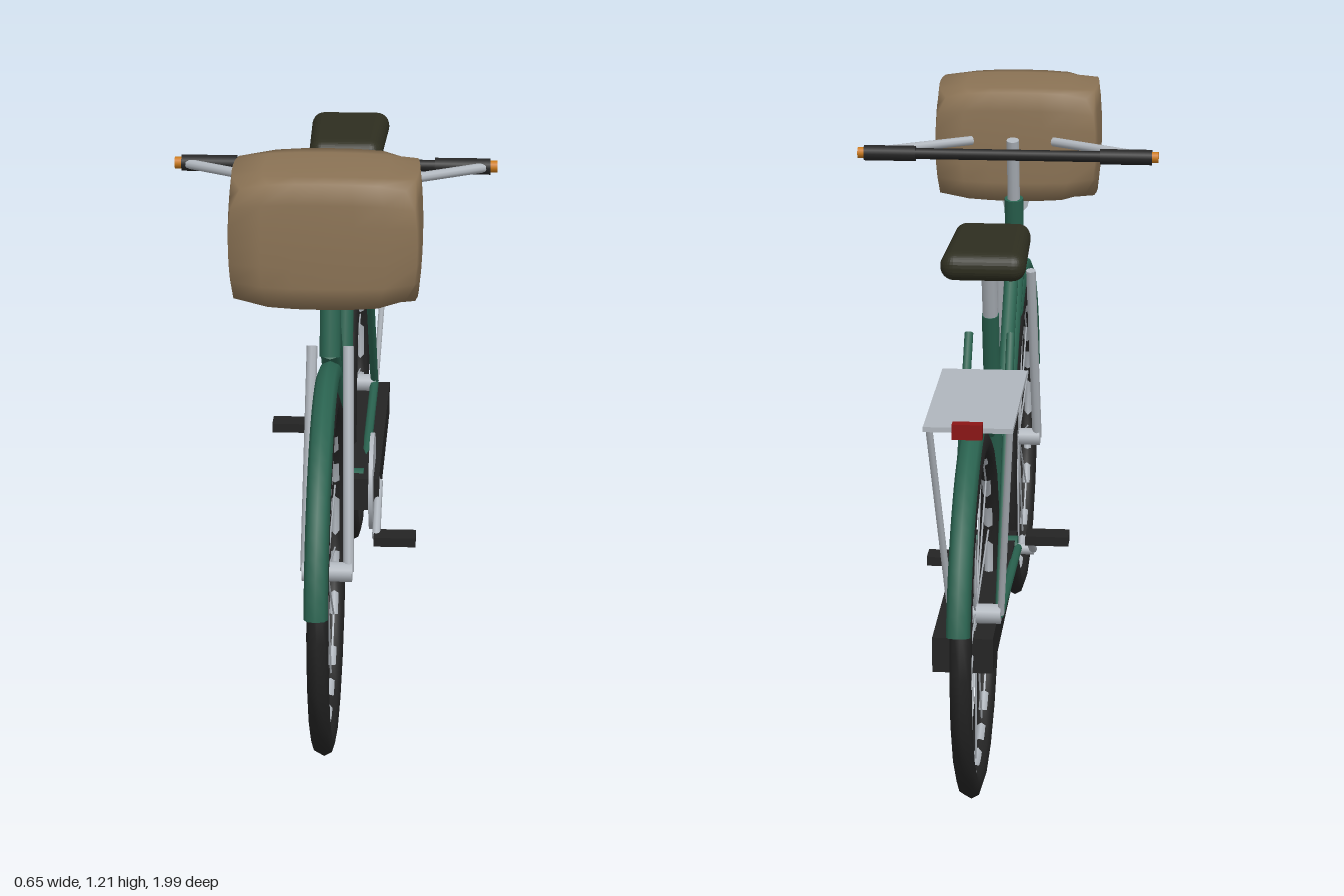
import * as THREE from 'three';
import { mergeVertices } from 'three/addons/utils/BufferGeometryUtils.js';
import { RoundedBoxGeometry } from 'three/addons/geometries/RoundedBoxGeometry.js';

const mat = (name, color) => {
  const m = new THREE.MeshStandardMaterial({ color });
  m.name = name;
  return m;
};

export function createModel() {
  const bike = new THREE.Group();
  bike.name = 'bicycle';
  const green = mat('green paint', 0x2a6350);
  green.side = THREE.DoubleSide;
  const chrome = mat('chrome', 0xb0b6bd);
  const rubber = mat('black rubber', 0x242424);
  const leather = mat('dark leather', 0x2e2e20);
  const wicker = mat('wicker', 0x8b7355);
  const red = mat('red reflector', 0x8b1515);
  const orange = mat('orange end cap', 0xcc7a1a);

  const add = (name, geo, material, x = 0, y = 0, z = 0, parent = bike) => {
    const m = new THREE.Mesh(geo, material);
    m.name = name;
    m.position.set(x, y, z);
    parent.add(m);
    return m;
  };
  // straight tube between two points
  const tube = (name, a, b, r, material, parent = bike, sides = 10) => {
    const p = new THREE.Vector3(...a), q = new THREE.Vector3(...b);
    const d = q.clone().sub(p);
    const m = add(name, new THREE.CylinderGeometry(r, r, d.length(), sides), material, 0, 0, 0, parent);
    m.position.copy(p).add(q).multiplyScalar(0.5);
    m.quaternion.setFromUnitVectors(new THREE.Vector3(0, 1, 0), d.normalize());
    return m;
  };

  const AXLE = 0.368, BASE = 0.583, BB = [0.32, -0.06];

  // wheels: tyre, rim, hub and spokes
  for (const [label, z] of [['front', BASE], ['rear', -BASE]]) {
    const wheel = new THREE.Group();
    wheel.name = label + 'Wheel';
    wheel.position.set(0, AXLE, z);
    bike.add(wheel);
    const tyre = add('tyre', new THREE.TorusGeometry(0.341, 0.027, 8, 20), rubber, 0, 0, 0, wheel);
    tyre.rotation.y = -Math.PI / 2;
    tyre.scale.z = 0.78;
    add('rim', new THREE.TorusGeometry(0.322, 0.01, 6, 28), chrome, 0, 0, 0, wheel).rotation.y = -Math.PI / 2;
    tube('hub', [-0.05, 0, 0], [0.05, 0, 0], 0.02, chrome, wheel, 12);
    for (let i = 0; i < 14; i++) {
      const a = Math.PI / 2 + (i * Math.PI * 2) / 14;
      tube('spoke', [0, 0, 0], [0, 0.318 * Math.sin(a), 0.318 * Math.cos(a)], 0.002, chrome, wheel, 4);
    }
  }

  // mudguards: arcs measured in degrees up from straight ahead
  for (const [label, z, from, to] of [['front', BASE, 9, 118], ['rear', -BASE, 50, 166]]) {
    const arc = THREE.MathUtils.degToRad(to - from);
    const geo = new THREE.TorusGeometry(0.397, 0.023, 8, 20, arc);
    geo.rotateZ(THREE.MathUtils.degToRad(from));
    add(label + 'Mudguard', geo, green, 0, AXLE, z).rotation.y = -Math.PI / 2;
  }

  // frame
  tube('headTube', [0, 0.78, 0.464], [0, 0.975, 0.422], 0.021, green, bike, 12);
  tube('upperDownTube', [0, 0.895, 0.435], [0, 0.40, -0.07], 0.016, green);
  tube('lowerDownTube', [0, 0.79, 0.455], [0, BB[0], BB[1]], 0.02, green);
  tube('seatTube', [0, BB[0], BB[1]], [0, 0.885, -0.224], 0.018, green);
  tube('bottomBracket', [-0.045, ...BB], [0.045, ...BB], 0.028, green, bike, 12);
  for (const s of [-1, 1]) {
    tube('seatStay', [s * 0.043, 0.848, -0.235], [s * 0.047, AXLE, -BASE], 0.009, green, bike, 8);
    tube('chainStay', [s * 0.045, 0.325, -0.07], [s * 0.047, AXLE, -BASE], 0.01, green, bike, 8);
    tube('forkBlade', [s * 0.036, 0.80, 0.458], [s * 0.043, AXLE, BASE], 0.011, chrome, bike, 8);
    tube('rackStay', [s * 0.078, 0.80, -0.72], [s * 0.05, AXLE, -BASE], 0.007, chrome, bike, 8);
  }

  // handlebar, grips and swept arms
  tube('stem', [0, 0.95, 0.427], [0, 1.115, 0.385], 0.014, chrome);
  tube('handlebar', [-0.3, 1.114, 0.24], [0.3, 1.114, 0.24], 0.012, rubber);
  for (const s of [-1, 1]) {
    tube('grip', [s * 0.2, 1.114, 0.24], [s * 0.312, 1.114, 0.24], 0.017, rubber, bike, 12);
    tube('gripCap', [s * 0.31, 1.114, 0.24], [s * 0.326, 1.114, 0.24], 0.012, orange);
    tube('sweptArm', [s * 0.09, 1.114, 0.38], [s * 0.312, 1.114, 0.24], 0.01, chrome);
  }

  // headlamp under the basket
  tube('headlamp', [0, 0.957, 0.475], [0, 0.957, 0.515], 0.03, chrome, bike, 12);

  // basket: box with bulging faces and softened corners
  const box = new THREE.BoxGeometry(2, 2, 2, 6, 6, 6);
  box.deleteAttribute('uv');
  box.deleteAttribute('normal');
  const basket = mergeVertices(box);
  const p = basket.attributes.position;
  const shrink = (a, b) => 1 - 0.04 * (a * a + b * b) - 0.08 * a ** 6 * b ** 6;
  for (let i = 0; i < p.count; i++) {
    const x = p.getX(i), y = p.getY(i), z = p.getZ(i);
    p.setXYZ(i, 0.186 * x * shrink(y, z), 0.128 * y * shrink(x, z), 0.139 * z * shrink(x, y));
  }
  basket.computeVertexNormals();
  add('basket', basket, wicker, 0, 1.083, 0.592);

  // saddle, slightly narrower at the nose
  tube('seatPost', [0, 0.87, -0.22], [0, 1.02, -0.268], 0.016, chrome);
  const saddle = new RoundedBoxGeometry(0.172, 0.058, 0.288, 4, 0.028);
  const sp = saddle.attributes.position;
  for (let i = 0; i < sp.count; i++) sp.setX(i, sp.getX(i) * (0.95 - 0.35 * sp.getZ(i)));
  saddle.computeVertexNormals();
  add('saddle', saddle, leather, 0, 1.032, -0.281);

  // luggage rack and reflector
  add('rack', new THREE.BoxGeometry(0.172, 0.01, 0.395), chrome, 0, 0.802, -0.555);
  add('reflector', new THREE.BoxGeometry(0.058, 0.03, 0.022), red, 0, 0.804, -0.761);

  // chain case, chainring, cranks and pedals
  add('chainCase', new THREE.BoxGeometry(0.12, 0.072, 0.65), rubber, 0.02, 0.307, -0.335);
  tube('chainring', [0.059, ...BB], [0.068, ...BB], 0.106, chrome, bike, 24);
  tube('crankAxle', [-0.08, ...BB], [0.08, ...BB], 0.012, chrome);
  for (const s of [-1, 1]) {
    const y = BB[0] - s * 0.077, z = BB[1] + s * 0.142;
    tube('crank', [s * 0.078, ...BB], [s * 0.078, y, z], 0.009, chrome, bike, 8);
    add('pedal', new THREE.BoxGeometry(0.09, 0.02, 0.052), rubber, s * 0.118, y, z);
  }
  return bike;
}
